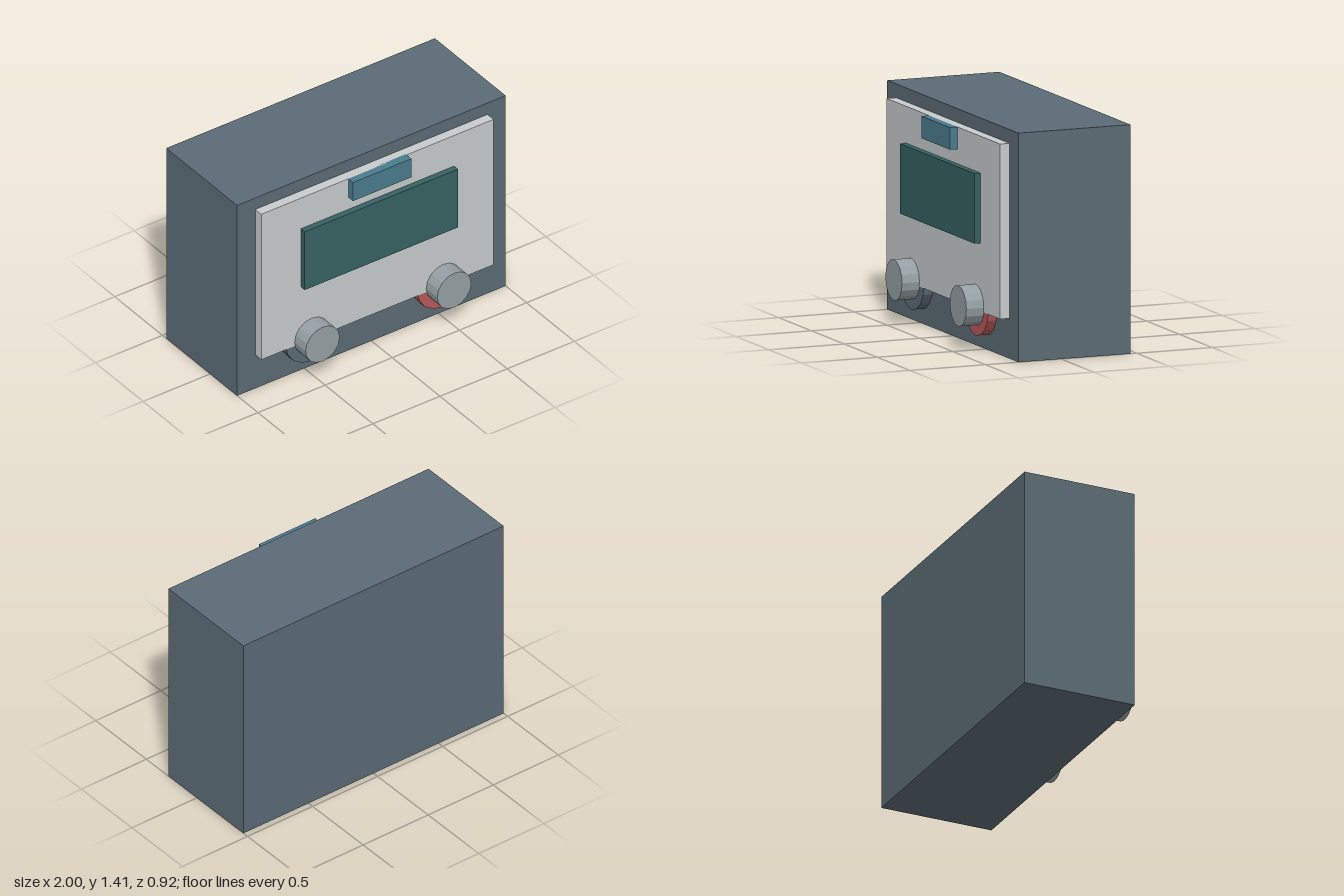
import * as THREE from 'three';

const paint = (name, color) => {
  const m = new THREE.MeshStandardMaterial({ color });
  m.name = name;
  return m;
};

export function createModel() {
  const model = new THREE.Group();
  model.name = 'controlBox';

  const slate = paint('slate', 0x5b6b75);
  const lightGrey = paint('lightGrey', 0xc8cccc);
  const darkTeal = paint('darkTeal', 0x376163);
  const blue = paint('blue', 0x4a7c8e);
  const metal = paint('metal', 0x96a0a4);
  const red = paint('red', 0xb6585a);

  const add = (name, geometry, material, x, y, z) => {
    const mesh = new THREE.Mesh(geometry, material);
    mesh.name = name;
    mesh.position.set(x, y, z);
    model.add(mesh);
  };

  // Box given by its width, height range and depth range, centred on x
  const slab = (name, material, w, y0, y1, z0, z1) =>
    add(name, new THREE.BoxGeometry(w, y1 - y0, z1 - z0), material, 0, (y0 + y1) / 2, (z0 + z1) / 2);

  // Sixteen-sided faceted disc facing forward
  const disc = (name, material, r, x, y, z0, z1) => {
    const g = new THREE.CylinderGeometry(r, r, z1 - z0, 16).rotateX(Math.PI / 2).toNonIndexed();
    g.computeVertexNormals();
    add(name, g, material, x, y, (z0 + z1) / 2);
  };

  // Housing, face plate, display and top tab
  slab('housing', slate, 2, 0, 1.412, -0.46, 0.282);
  slab('facePlate', lightGrey, 1.73, 0.248, 1.327, 0.275, 0.345);
  slab('display', darkTeal, 1.14, 0.668, 1.1, 0.335, 0.385);
  slab('topTab', blue, 0.434, 1.19, 1.327, 0.335, 0.395);

  // Knobs, each with a backing disc half hidden by the face plate
  for (const [side, s, material] of [['left', 1, red], ['right', -1, slate]]) {
    disc(side + 'Dial', material, 0.19, s * 0.49, 0.276, 0.275, 0.342);
    disc(side + 'Knob', metal, 0.127, s * 0.49, 0.277, 0.335, 0.46);
  }
  return model;
}
